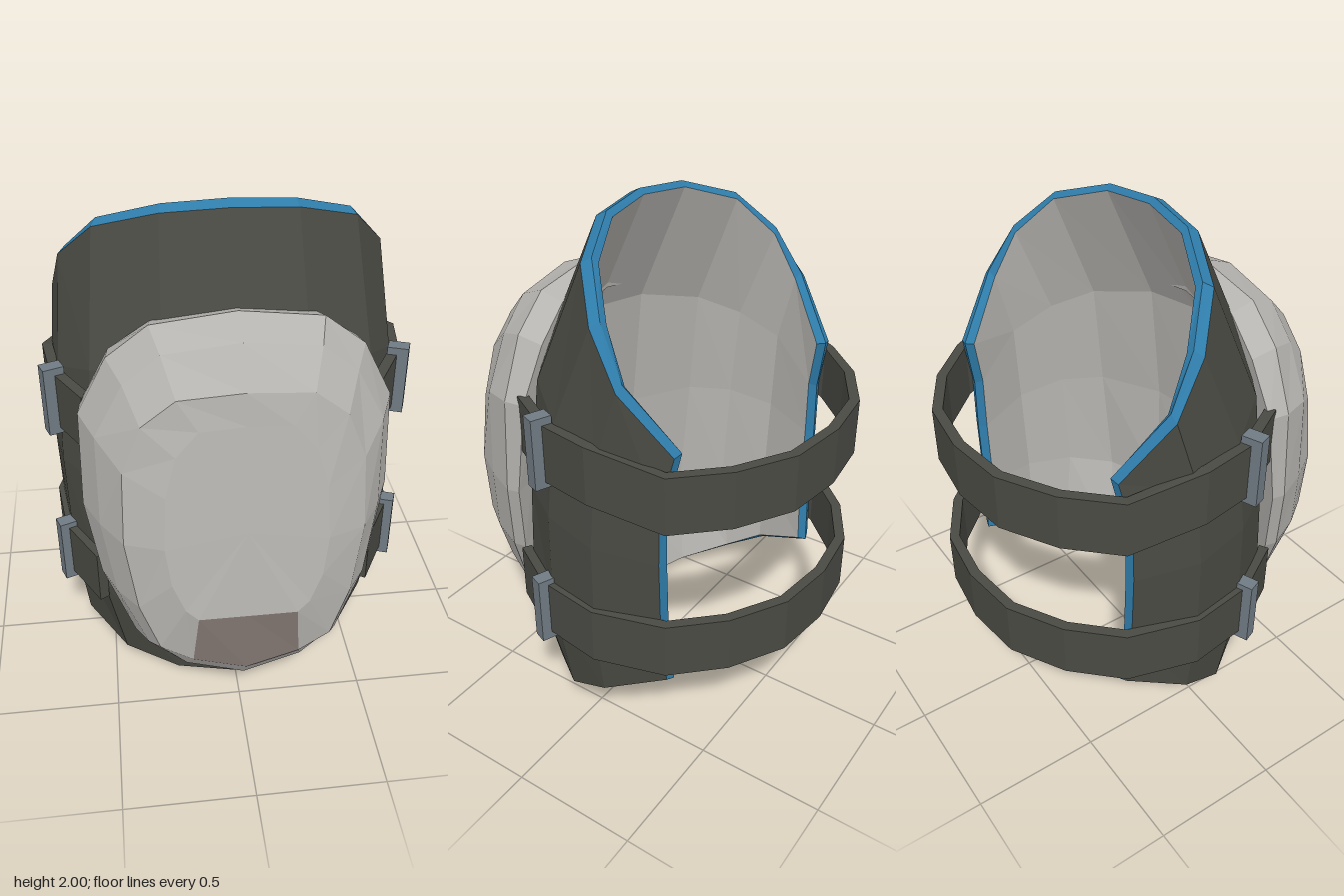
import * as THREE from 'three';

const mat = (name, color) => {
  const m = new THREE.MeshStandardMaterial({ color, flatShading: true });
  m.name = name;
  return m;
};
const V = (x, y, z) => new THREE.Vector3(x, y, z);
const flipX = (p) => V(-p.x, p.y, p.z);

// Skins a grid of points; keep(r, c) selects which quads to include
function surface(name, material, rows, { closed = false, keep = () => true } = {}) {
  const pos = [];
  const tri = (a, b, c) => {
    const area = b.clone().sub(a).cross(c.clone().sub(a)).length();
    if (area > 1e-8) for (const p of [a, b, c]) pos.push(p.x, p.y, p.z);
  };
  const n = rows[0].length;
  for (let r = 0; r < rows.length - 1; r++) {
    for (let c = 0; c < (closed ? n : n - 1); c++) {
      if (!keep(r, c)) continue;
      const d = (c + 1) % n;
      tri(rows[r][c], rows[r + 1][c], rows[r + 1][d]);
      tri(rows[r][c], rows[r + 1][d], rows[r][d]);
    }
  }
  const g = new THREE.BufferGeometry();
  g.setAttribute('position', new THREE.Float32BufferAttribute(pos, 3));
  g.computeVertexNormals();
  const mesh = new THREE.Mesh(g, material);
  mesh.name = name;
  return mesh;
}

// Half rows of the sleeve, from the front centre round to the open back edge
const SLEEVE = [
  [[0, 1.98, .17], [.24, 1.96, .14], [.47, 1.88, .03], [.60, 1.73, -.10], [.64, 1.55, -.23], [.56, 1.33, -.40]],
  [[0, 1.50, .40], [.26, 1.48, .36], [.51, 1.42, .22], [.63, 1.35, .05], [.665, 1.27, -.15], [.59, 1.13, -.36]],
  [[0, .97, .46], [.27, .97, .42], [.53, .97, .27], [.645, .96, .09], [.68, .93, -.13], [.595, .9, -.36]],
  [[0, .45, .46], [.27, .46, .43], [.52, .48, .31], [.635, .52, .11], [.67, .55, -.12], [.585, .6, -.36]],
  [[0, .02, .40], [.24, .035, .36], [.45, .07, .25], [.60, .14, .06], [.64, .24, -.13], [.57, .36, -.375]],
];

function buildSleeve(dark, blue, grey) {
  const group = new THREE.Group();
  group.name = 'sleeve';
  const outer = SLEEVE.map((row) => {
    const half = row.map((p) => V(...p));
    return [...half.slice(1).reverse().map(flipX), ...half];
  });
  const last = outer.length - 1, n = outer[0].length;
  // Inner layer, offset square to the horizontal curve
  const inset = (row, c, t) => {
    const a = row[Math.max(c - 1, 0)], b = row[Math.min(c + 1, n - 1)];
    const dx = b.x - a.x, dz = b.z - a.z, l = Math.hypot(dx, dz);
    return V(row[c].x + dz / l * t, row[c].y, row[c].z - dx / l * t);
  };
  const inner = outer.map((row) => row.map((_, c) => inset(row, c, .06)));
  group.add(surface('outerFabric', dark, outer));
  group.add(surface('lining', grey, inner.map((row) => [...row].reverse())));

  // Edging runs round the whole perimeter with a raised middle line
  const loop = [];
  for (let c = 0; c < n; c++) loop.push([0, c]);
  for (let r = 1; r <= last; r++) loop.push([r, n - 1]);
  for (let c = n - 2; c >= 0; c--) loop.push([last, c]);
  for (let r = last - 1; r > 0; r--) loop.push([r, 0]);
  loop.reverse();
  const raised = ([r, c]) => {
    const p = outer[r][c], out = V(0, 0, 0);
    if (r === 0) out.add(p.clone().sub(outer[1][c]).normalize());
    if (r === last) out.add(p.clone().sub(outer[last - 1][c]).normalize());
    if (c === 0) out.add(p.clone().sub(outer[r][1]).normalize());
    if (c === n - 1) out.add(p.clone().sub(outer[r][n - 2]).normalize());
    return inset(outer[r], c, .03).add(out.normalize().multiplyScalar(.022));
  };
  group.add(surface('edging', blue, [
    loop.map(([r, c]) => outer[r][c]), loop.map(raised), loop.map(([r, c]) => inner[r][c]),
  ], { closed: true }));
  return group;
}

// Half outlines of the knee cap, top to bottom, from the face to the back
const CAP = [
  [[0, 1.40, .615], [.16, 1.39, .615], [.24, 1.3, .625], [.28, 1.15, .645], [.29, .95, .675], [.27, .8, .695], [.225, .69, .71], [.18, .65, .72], [0, .65, .72]],
  [[0, 1.52, .60], [.23, 1.50, .59], [.35, 1.40, .58], [.42, 1.22, .58], [.43, .94, .615], [.39, .66, .64], [.32, .47, .66], [.20, .41, .68], [0, .35, .685]],
  [[0, 1.65, .50], [.27, 1.61, .48], [.40, 1.50, .47], [.505, 1.30, .47], [.51, .94, .49], [.465, .65, .53], [.36, .42, .58], [.22, .32, .61], [0, .25, .615]],
  [[0, 1.70, .37], [.30, 1.66, .36], [.45, 1.54, .35], [.56, 1.32, .34], [.57, .94, .36], [.52, .64, .40], [.41, .37, .45], [.24, .24, .50], [0, .20, .505]],
  [[0, 1.67, .28], [.29, 1.63, .27], [.44, 1.52, .25], [.55, 1.32, .26], [.56, .94, .31], [.51, .64, .35], [.40, .38, .39], [.235, .25, .42], [0, .20, .43]],
];

function buildCap(grey, brown) {
  const group = new THREE.Group();
  group.name = 'kneeCap';
  const rings = CAP.map((half) => {
    const right = half.map((p) => V(...p));
    return [...right.map(flipX), ...right.slice(1, -1).reverse()];
  });
  const n = rings[0].length;
  const centre = V(0, 1, .675);
  // Turn the back lip inward, behind the sleeve surface
  const lip = rings[4].map((p) => V(p.x * .85, 1 + (p.y - 1) * .88, p.z + .01));
  const rows = [Array(n).fill(centre), ...rings, lip];
  const isPatch = (r, c) => r === 1 && (c === 7 || c === 8);
  const isCorner = (r, c) => r === 3 && (c === 6 || c === 9);
  group.add(surface('capShell', grey, rows, { closed: true, keep: (r, c) => !isPatch(r, c) && !isCorner(r, c) }));
  group.add(surface('lowerPatch', brown, rows, { closed: true, keep: isPatch }));
  group.add(surface('cornerPatches', brown, rows, { closed: true, keep: isCorner }));
  return group;
}

// Strap path: [x, z, centre height] from the front of one side to the back centre
function buildStrap(name, half, material) {
  const path = half.map(([x, z, y]) => V(x, y, z));
  path.push(...path.slice(0, -1).reverse().map(flipX));
  const h = .113, t = .04;
  const sections = path.map((p, i) => {
    const a = path[Math.max(i - 1, 0)], b = path[Math.min(i + 1, path.length - 1)];
    const dx = b.x - a.x, dz = b.z - a.z, l = Math.hypot(dx, dz);
    const ix = p.x + dz / l * t, iz = p.z - dx / l * t;
    return [V(p.x, p.y - h, p.z), V(p.x, p.y + h, p.z), V(ix, p.y + h, iz), V(ix, p.y - h, iz)];
  });
  const cap = (s) => Array(4).fill(s[0].clone().add(s[2]).multiplyScalar(.5));
  const rows = [cap(sections[0]), ...sections, cap(sections[sections.length - 1])];
  return surface(name, material, rows, { closed: true });
}

export function createModel() {
  const dark = mat('darkFabric', 0x4a4a44);
  const blue = mat('blueEdging', 0x2f7dab);
  const grey = mat('lightGrey', 0xb6b4b0);
  const brown = mat('brownPatch', 0x857a74);
  const metal = mat('buckleGrey', 0x707b83);

  const model = new THREE.Group();
  model.name = 'kneePad';
  model.add(buildSleeve(dark, blue, grey), buildCap(grey, brown));

  const back = (y) => [[.615, -.40, y], [.45, -.57, y], [.24, -.69, y], [0, -.72, y]];
  model.add(buildStrap('upperStrap', [[.545, .29, 1.237], [.66, .09, 1.237], [.695, -.13, 1.237], ...back(1.17)], dark));
  model.add(buildStrap('lowerStrap', [[.54, .34, .543], [.66, .13, .543], [.695, -.13, .543], ...back(.543)], dark));

  // Buckles
  for (const side of [1, -1]) {
    for (const [y, z] of [[1.24, .10], [.54, .125]]) {
      const buckle = new THREE.Mesh(new THREE.BoxGeometry(.08, .28, .055), metal);
      buckle.name = 'buckle';
      buckle.position.set(side * .653, y, z);
      buckle.rotation.y = -side * .37;
      model.add(buckle);
    }
  }
  return model;
}
